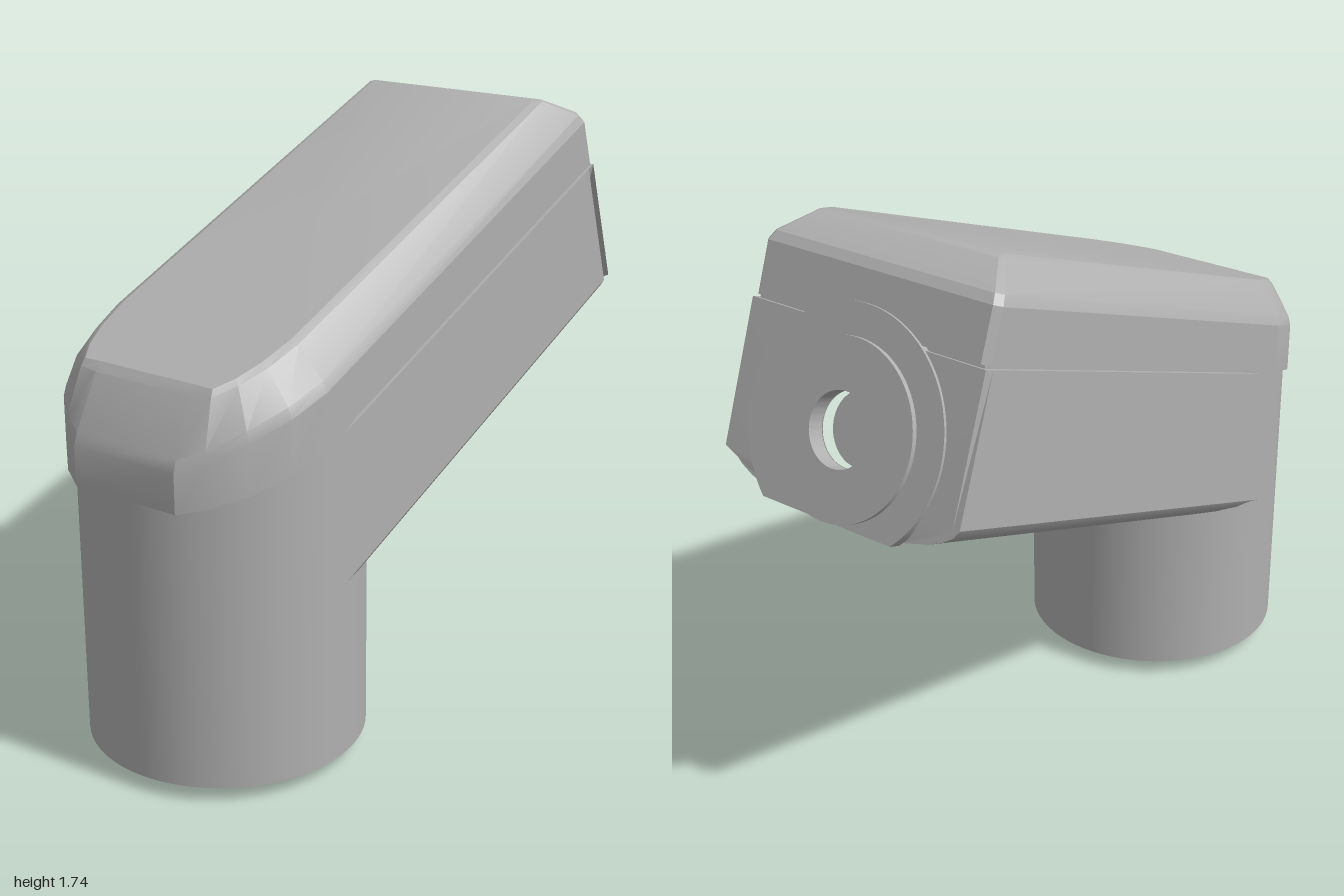
import * as THREE from 'three';
import { toCreasedNormals } from 'three/addons/utils/BufferGeometryUtils.js';

const ANGLE = THREE.MathUtils.degToRad(20);
const C = Math.cos(ANGLE), S = Math.sin(ANGLE);
const SEAM = 1.162, END = 1.264, HUB = 0.891, HOLE = 0.105;
// along-arm coordinate of a vertical plane at x, for arm height v
const along = (x, v) => (x + S * v) / C;

export function createModel() {
  const model = new THREE.Group();
  const grey = new THREE.MeshStandardMaterial({ color: 0xb0b0b0 });
  grey.name = 'grey';
  const add = (parent, name, geo) => {
    const mesh = new THREE.Mesh(geo, grey);
    mesh.name = name;
    parent.add(mesh);
    return mesh;
  };

  // Upright post, its top cut along the sloping seam
  const post = new THREE.CylinderGeometry(0.41, 0.41, 1, 72);
  const pp = post.attributes.position;
  for (let i = 0; i < pp.count; i++) {
    const x = pp.getX(i) - 0.59;
    pp.setXYZ(i, x, pp.getY(i) > 0 ? (SEAM + 0.005 + S * x) / C : 0.045, pp.getZ(i));
  }
  add(model, 'post', post);
  const foot = new THREE.CylinderGeometry(0.31, 0.31, 0.06, 64);
  add(model, 'foot', foot).position.set(-0.59, 0.03, 0);

  // Arm frame: x along the arm, y across it
  const arm = new THREE.Group();
  arm.name = 'arm';
  arm.rotation.z = ANGLE;
  model.add(arm);

  const circle = (r) => new THREE.Path().absarc(0, HUB, r, 0, Math.PI * 2, true);
  // Extrude a cross-section along the arm, then bend vertices by a rule
  const extrudeAlong = (shape, from, to, rule) => {
    shape.holes.push(circle(HOLE));
    const geo = new THREE.ExtrudeGeometry(shape, { depth: to - from, bevelEnabled: false, curveSegments: 48 });
    geo.rotateY(Math.PI / 2).translate(from, 0, 0);
    const p = geo.attributes.position;
    if (rule) {
      for (let i = 0; i < p.count; i++) {
        p.setXYZ(i, ...rule(p.getX(i), p.getY(i), p.getZ(i)));
      }
    }
    return toCreasedNormals(geo, 0.45);
  };

  // Lower body with a softly rounded underside
  const half = [[0.41, 0.735], [0.395, 0.712], [0.365, 0.692], [0.32, 0.672], [0.25, 0.654], [0.13, 0.643]];
  const under = [...half, ...half.map(([z, v]) => [-z, v]).reverse()];
  const top = SEAM - 0.005;
  const section = new THREE.Shape(
    [[-0.41, top], [0.41, top], ...under].map(([z, v]) => new THREE.Vector2(z, v)));
  add(arm, 'lowerBody', extrudeAlong(section, 0, 1.233, (u, v, z) =>
    [u < 0.1 ? along(-0.59, v) : u, v, z]));

  // End block whose lower edge slopes back
  const block = new THREE.Shape(
    [[-0.41, top], [0.41, top], [0.41, 0.735], [-0.41, 0.735]].map(([z, v]) => new THREE.Vector2(z, v)));
  add(arm, 'endBlock', extrudeAlong(block, 1.233, END, (u, v, z) =>
    u < 1.25 && v < 0.74 ? [u, 0.655, z * 0.6] : [u, v, z]));

  // Core that closes the seam groove
  const core = new THREE.BoxGeometry(1.55, 0.03, 0.79);
  add(arm, 'seamCore', core).position.set(0.475, SEAM, 0);

  add(arm, 'cap', capGeometry());

  // Flange clipped level with the underside, and the raised ring on it
  const flange = new THREE.Shape();
  const a = Math.asin(0.25 / 0.34);
  flange.absarc(0, HUB, 0.34, -a, Math.PI + a, false);
  add(arm, 'flange', extrudeAlong(flange, 1.236, 1.273));
  const ring = new THREE.Shape().absarc(0, HUB, 0.25, 0, Math.PI * 2, false);
  add(arm, 'raisedRing', extrudeAlong(ring, 1.236, 1.288));

  // Floor of the bore
  const floor = new THREE.CircleGeometry(HOLE + 0.002, 40).rotateY(Math.PI / 2);
  add(arm, 'boreFloor', floor).position.set(1.19, HUB, 0);

  return model;
}

// Bevelled cap: the same outline lofted upwards and inset
function capGeometry() {
  // [position, z, inset position, inset z, bevel start]; the back is vertical, the end square
  const back = [
    [-1, 0.175, -0.9, 0.165, 1.285], [-0.957, 0.245, -0.897, 0.225, 1.3],
    [-0.877, 0.326, -0.84, 0.262, 1.32], [-0.77, 0.385, -0.76, 0.29, 1.33],
    [-0.65, 0.41, -0.65, 0.307, 1.33]];
  const end = [[1.245, 0.41, 1.15, 0.31, 1.335], [END, 0.391, 1.16, 0.3, 1.335]];
  const bottom = SEAM + 0.005, top = 1.436;
  // inset fraction and height step of every ring
  const rings = [[0, 0], [0, 0.9], [0.12, 1.12], [0.88, 1.9], [1.1, 2]];
  const pos = [], index = [];
  const lerp = THREE.MathUtils.lerp;
  for (const [t, s] of rings) {
    const point = ([p, z, pi, zi, vs], isBack) => {
      const v = s < 1 ? lerp(bottom, vs, s) : lerp(vs, top, s - 1);
      const u = lerp(p, pi, t);
      return [isBack ? along(u, v) : u, v, lerp(z, zi, t)];
    };
    const side = [...back.map((q) => point(q, true)), ...end.map((q) => point(q, false))];
    const mirrored = side.map(([u, v, z]) => [u, v, -z]).reverse();
    for (const q of [...side, ...mirrored]) pos.push(...q);
  }
  const n = 2 * (back.length + end.length);
  const last = (rings.length - 1) * n;
  const low = pos.length / 3;
  pos.push(0.3, bottom, 0, 0.3, top, 0);
  for (let j = 0; j < n; j++) {
    const k = (j + 1) % n;
    for (let r = 0; r < last; r += n) {
      index.push(r + j, r + k, r + n + k, r + j, r + n + k, r + n + j);
    }
    index.push(low, k, j, low + 1, last + j, last + k);
  }
  const geo = new THREE.BufferGeometry();
  geo.setAttribute('position', new THREE.Float32BufferAttribute(pos, 3));
  geo.setIndex(index);
  return toCreasedNormals(geo, 0.37);
}
